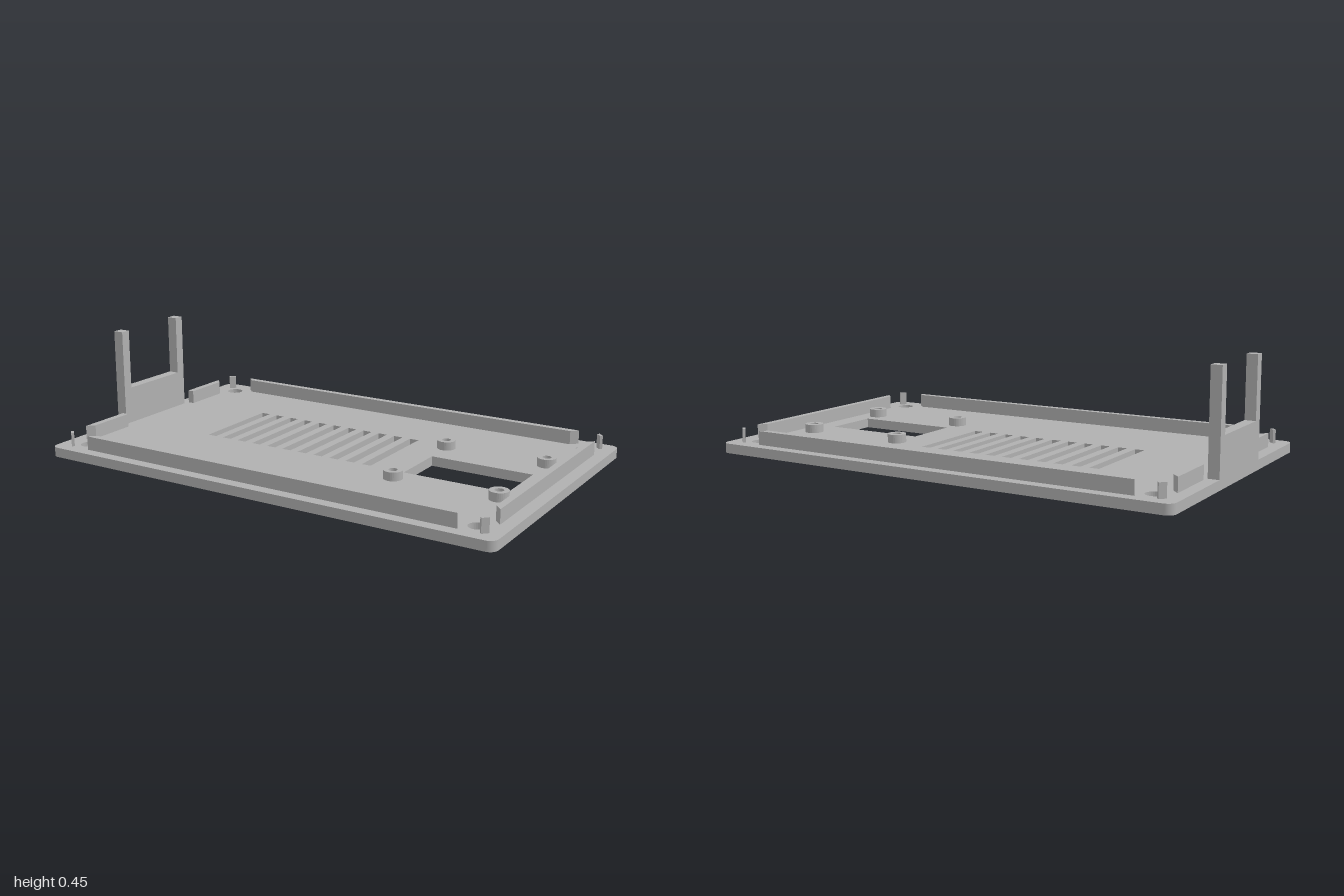
import * as THREE from 'three';

const grey = new THREE.MeshStandardMaterial({ color: 0xb0b0b0 });
grey.name = 'grey plastic';

const PLATE = 0.04;   // plate thickness
const RIM = 0.097;    // top of the rim walls

// Closed outline from [x, z] points
const outline = (pts, Type = THREE.Shape) =>
  new Type(pts.map(([x, z]) => new THREE.Vector2(x, -z)));
const rect = (x0, z0, x1, z1, Type) =>
  outline([[x0, z1], [x1, z1], [x1, z0], [x0, z0]], Type);
const circle = (x, z, r, Type) => {
  const c = new Type();
  c.absarc(x, -z, r, 0, Math.PI * 2, false);
  return c;
};

export function createModel() {
  const model = new THREE.Group();
  model.name = 'enclosureLid';

  // Extrude a plan outline upwards from y0 to y1
  const raise = (name, shape, y0, y1) => {
    const geo = new THREE.ExtrudeGeometry(shape, { depth: y1 - y0, bevelEnabled: false, curveSegments: 16 });
    geo.rotateX(-Math.PI / 2).translate(0, y0, 0);
    const mesh = new THREE.Mesh(geo, grey);
    mesh.name = name;
    model.add(mesh);
  };

  // Base plate with rounded corners
  const w = 1, d = 0.617, r = 0.035;
  const plate = new THREE.Shape();
  plate.absarc(w - r, d - r, r, 0, Math.PI / 2);
  plate.absarc(-w + r, d - r, r, Math.PI / 2, Math.PI);
  plate.absarc(-w + r, -d + r, r, Math.PI, Math.PI * 1.5);
  plate.absarc(w - r, -d + r, r, Math.PI * 1.5, Math.PI * 2);
  plate.closePath();

  // Screw holes, ventilation slots and display window
  for (const x of [-0.888, 0.888])
    for (const z of [-0.51, 0.51]) plate.holes.push(circle(x, z, 0.035, THREE.Path));
  for (let i = 0; i < 11; i++) {
    const x = -0.55 + i * 0.076;
    plate.holes.push(rect(x, -0.26, x + 0.04, 0.14, THREE.Path));
  }
  plate.holes.push(rect(0.4, -0.095, 0.836, 0.143, THREE.Path));
  raise('basePlate', plate, 0, PLATE);

  // Rim walls with mitred ends
  for (const s of [-1, 1]) {
    raise(s > 0 ? 'frontRim' : 'backRim',
      outline([[-0.84, s * 0.57], [0.84, s * 0.57], [0.812, s * 0.542], [-0.812, s * 0.542]]), PLATE, RIM);
    raise('rightRim' + (s > 0 ? 'Front' : 'Back'),
      outline([[-0.95, s * 0.46], [-0.922, s * 0.432], [-0.922, s * 0.228], [-0.95, s * 0.228]]), PLATE, RIM);
  }
  raise('leftRim', outline([[0.948, -0.46], [0.948, 0.46], [0.92, 0.432], [0.92, -0.432]]), PLATE, RIM);

  // Thin diagonal pegs in the corners
  for (const sx of [-1, 1]) {
    for (const sz of [-1, 1]) {
      const peg = new THREE.Mesh(new THREE.BoxGeometry(0.03, RIM - PLATE, 0.012), grey);
      peg.name = 'cornerPeg';
      peg.position.set(sx * 0.935, (RIM + PLATE) / 2, sz * 0.556);
      peg.rotation.y = sx * sz * Math.PI / 4;
      model.add(peg);
    }
  }

  // Hollow mounting posts around the window
  for (const x of [0.398, 0.838]) {
    for (const z of [-0.227, 0.225]) {
      const post = circle(x, z, 0.038, THREE.Shape);
      post.holes.push(circle(x, z, 0.018, THREE.Path));
      raise('mountingPost', post, PLATE, 0.075);
    }
  }

  // Forked upright tab on the right edge
  const tab = new THREE.Shape([
    [-0.203, PLATE], [0.203, PLATE], [0.203, 0.452], [0.16, 0.452],
    [0.16, 0.197], [-0.16, 0.197], [-0.16, 0.452], [-0.203, 0.452],
  ].map(([a, b]) => new THREE.Vector2(a, b)));
  const fork = new THREE.Mesh(new THREE.ExtrudeGeometry(tab, { depth: 0.045, bevelEnabled: false }), grey);
  fork.name = 'forkedTab';
  fork.rotation.y = Math.PI / 2;
  fork.position.x = -1;
  model.add(fork);

  return model;
}
